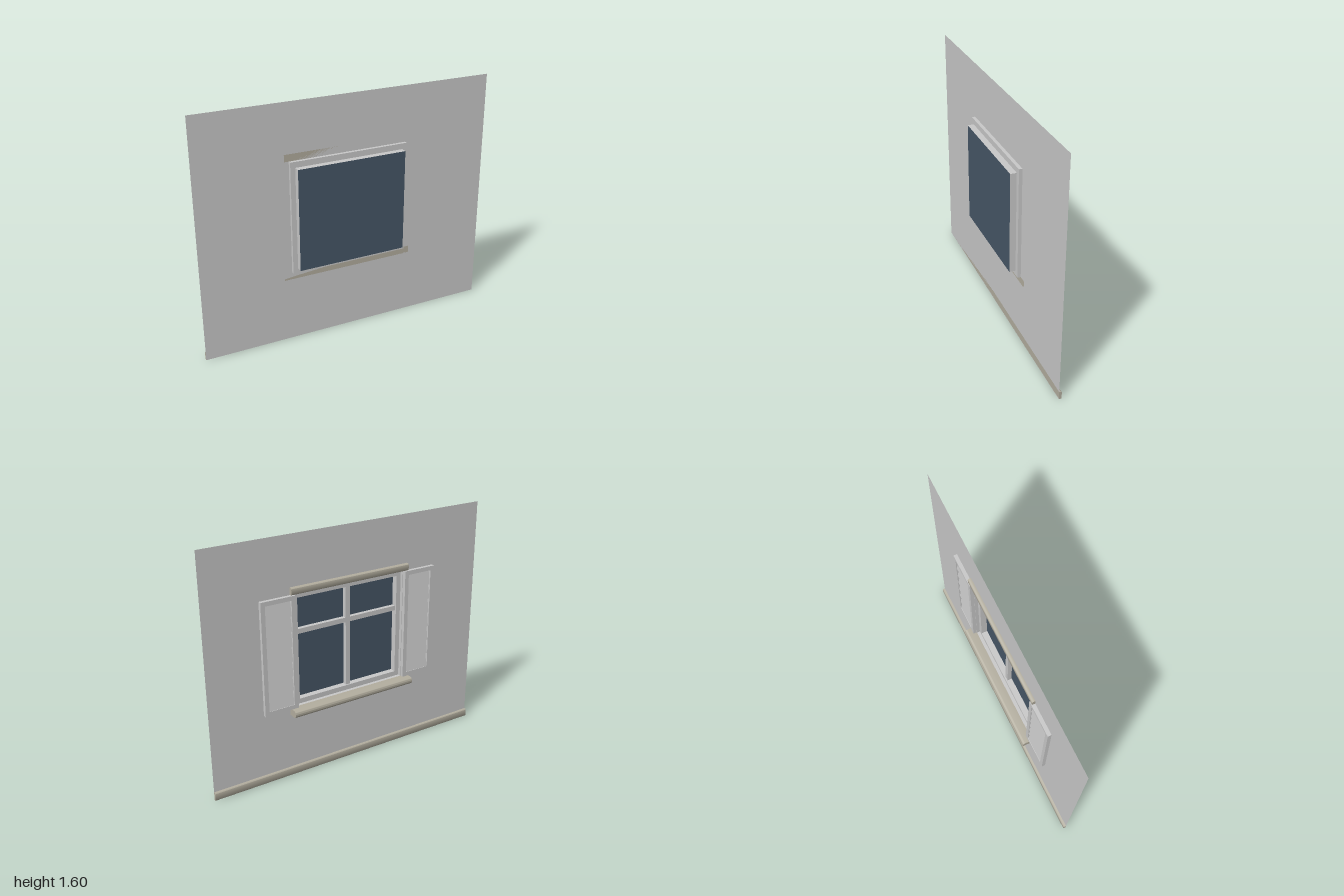
import * as THREE from 'three';
import { toCreasedNormals } from 'three/addons/utils/BufferGeometryUtils.js';

const WALL_Z = 0.003;
const wallGrey = new THREE.MeshStandardMaterial({ color: 0xc8c8c8, side: THREE.DoubleSide });
const trimStone = new THREE.MeshStandardMaterial({ color: 0xb2ad9e });
const glassBlue = new THREE.MeshStandardMaterial({ color: 0x465666, side: THREE.DoubleSide });
wallGrey.name = 'wallGrey';
trimStone.name = 'trimStone';
glassBlue.name = 'glassBlue';

function addMesh(parent, name, geometry, material) {
  const mesh = new THREE.Mesh(geometry, material);
  mesh.name = name;
  parent.add(mesh);
  return mesh;
}

// Box given by its limits on each axis
function box(x0, x1, y0, y1, z0, z1) {
  return new THREE.BoxGeometry(x1 - x0, y1 - y0, z1 - z0)
    .translate((x0 + x1) / 2, (y0 + y1) / 2, (z0 + z1) / 2);
}

// Extrudes a profile (distance out from the wall, height) along x
function alongX(shape, x0, x1) {
  return new THREE.ExtrudeGeometry(shape, { depth: x1 - x0, bevelEnabled: false, curveSegments: 6 })
    .rotateY(Math.PI / 2).translate(x0, 0, WALL_Z);
}

// Moulding with rounded outer edges
function moulding(halfWidth, y0, y1, depth, r) {
  const s = new THREE.Shape();
  s.moveTo(0, y0);
  s.lineTo(depth - r, y0);
  s.absarc(depth - r, y0 + r, r, -Math.PI / 2, 0, false);
  s.absarc(depth - r, y1 - r, r, 0, Math.PI / 2, false);
  s.lineTo(0, y1);
  return toCreasedNormals(alongX(s, -halfWidth, halfWidth), 0.7);
}

function rectPath(path, x0, x1, y0, y1) {
  path.moveTo(x0, y0);
  path.lineTo(x1, y0);
  path.lineTo(x1, y1);
  path.lineTo(x0, y1);
  path.closePath();
  return path;
}

// Stepped shell joining rectangular sections [halfWidth, y0, y1, z]
function steppedShell(sections) {
  const pos = [], index = [];
  for (const [w, y0, y1, z] of sections) pos.push(-w, y0, z, w, y0, z, w, y1, z, -w, y1, z);
  for (let i = 0; i < sections.length - 1; i++) {
    for (let j = 0; j < 4; j++) {
      const a = i * 4 + j, b = i * 4 + (j + 1) % 4;
      index.push(a, b, b + 4, a, b + 4, a + 4);
    }
  }
  const g = new THREE.BufferGeometry();
  g.setAttribute('position', new THREE.Float32BufferAttribute(pos, 3));
  g.setIndex(index);
  const flat = g.toNonIndexed();
  flat.computeVertexNormals();
  return flat;
}

// Louvred shutter: a border with seven tilted slats
function shutter(x0, x1, name) {
  const group = new THREE.Group();
  group.name = name;
  const y0 = 0.48, y1 = 1.228, b = 0.028, count = 7;
  const border = rectPath(new THREE.Shape(), x0, x1, y0, y1);
  border.holes.push(rectPath(new THREE.Path(), x0 + b, x1 - b, y0 + b, y1 - b));
  addMesh(group, 'shutterFrame',
    new THREE.ExtrudeGeometry(border, { depth: 0.024, bevelEnabled: false }).translate(0, 0, WALL_Z - 0.024),
    wallGrey);
  const pitch = (y1 - y0 - 2 * b) / count;
  for (let i = 0; i < count; i++) {
    const y = y0 + b + i * pitch;
    const s = new THREE.Shape();
    s.moveTo(0.001, y);
    s.lineTo(0.021, y);
    s.lineTo(0.003, y + pitch);
    s.lineTo(0.001, y + pitch);
    addMesh(group, 'slat', alongX(s, x0 + b, x1 - b), wallGrey);
  }
  return group;
}

export function createModel() {
  const model = new THREE.Group();
  model.name = 'windowWall';

  // Thin wall with the window opening
  const wall = rectPath(new THREE.Shape(), -1, 1, 0, 1.6);
  wall.holes.push(rectPath(new THREE.Path(), -0.4, 0.4, 0.48, 1.23));
  addMesh(model, 'wall', new THREE.ShapeGeometry(wall).translate(0, 0, WALL_Z), wallGrey);

  // Stepped reveal and the glass closing it
  addMesh(model, 'windowReveal', steppedShell([
    [0.4, 0.48, 1.23, WALL_Z], [0.4, 0.48, 1.23, 0.025],
    [0.368, 0.513, 1.192, 0.025], [0.368, 0.513, 1.192, 0.066],
  ]), wallGrey);
  addMesh(model, 'glass', new THREE.PlaneGeometry(0.736, 0.679).translate(0, 0.8525, 0.066), glassBlue);

  // Glazing bars
  addMesh(model, 'mullion', box(-0.016, 0.016, 0.513, 1.192, 0.035, 0.064), wallGrey);
  addMesh(model, 'transom', box(-0.368, 0.368, 0.952, 0.984, 0.036, 0.064), wallGrey);

  // Shutters on both sides
  model.add(shutter(0.403, 0.636, 'leftShutter'), shutter(-0.636, -0.403, 'rightShutter'));

  // Stone trim
  addMesh(model, 'sill', moulding(0.45, 0.432, 0.48, 0.069, 0.021), trimStone);
  addMesh(model, 'lintel', moulding(0.43, 1.23, 1.276, 0.022, 0.009), trimStone);
  addMesh(model, 'baseTrim', moulding(1, 0, 0.055, 0.017, 0.008), trimStone);
  return model;
}
